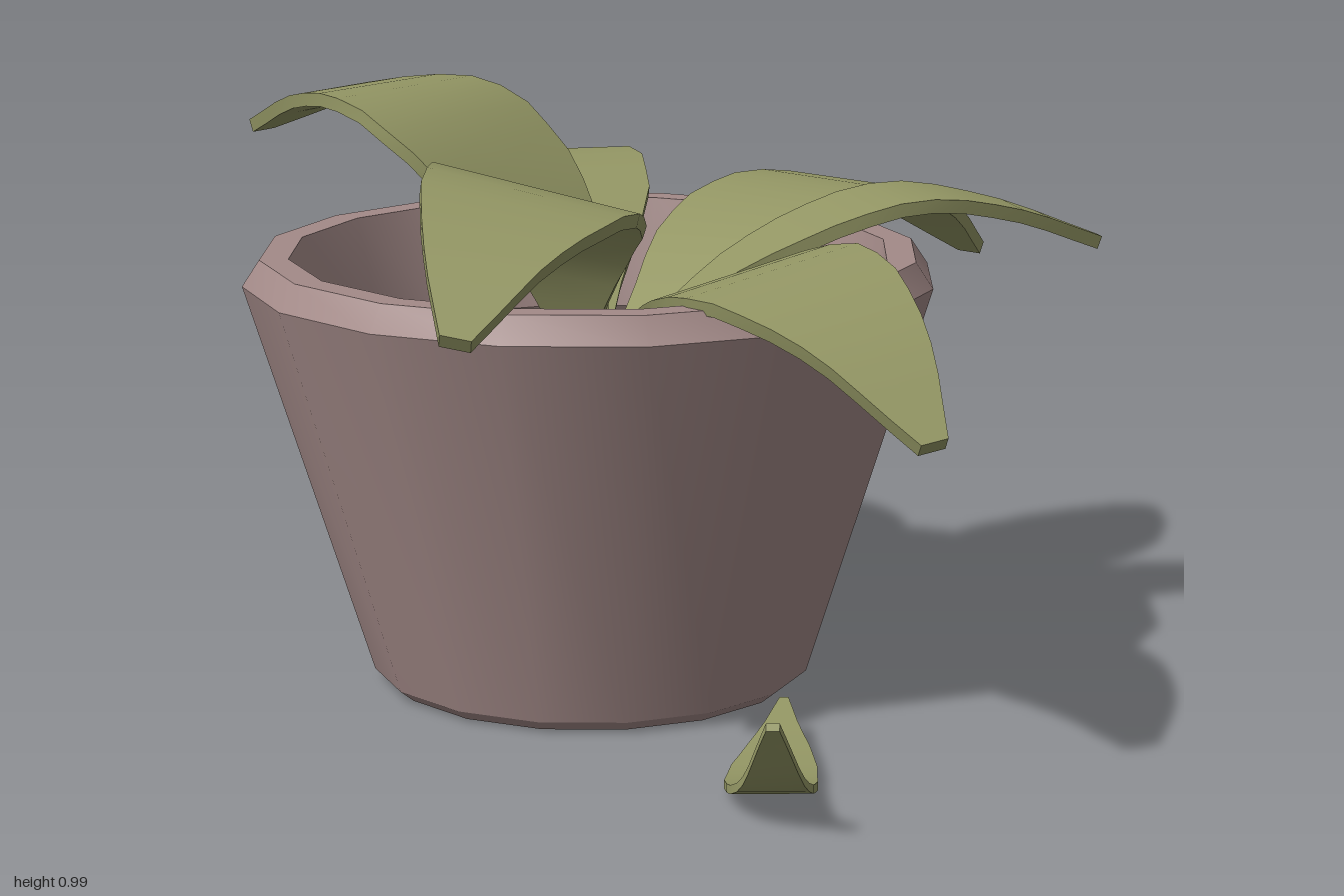
import * as THREE from 'three';
import { toCreasedNormals } from 'three/addons/utils/BufferGeometryUtils.js';

const potMaterial = new THREE.MeshStandardMaterial({ color: 0xa38a88 });
const soilMaterial = new THREE.MeshStandardMaterial({ color: 0x5a4d4a });
const leafMaterial = new THREE.MeshStandardMaterial({ color: 0x939664 });

// Relative leaf width from stem to blunt tip
const outline = [0.1, 0.36, 0.68, 0.93, 1, 0.87, 0.64, 0.4, 0.14];

function widthAt(t) {
  const f = Math.min(t * 8, 7.9999);
  const i = Math.floor(f);
  return THREE.MathUtils.lerp(outline[i], outline[i + 1], f - i);
}

// A thin box bent along a curve through the points; roll lifts one edge
function makeLeaf(name, { points, width, roll = 0, thickness = 0.024 }) {
  const curve = new THREE.CatmullRomCurve3(points.map(p => new THREE.Vector3(...p)));
  const geometry = new THREE.BoxGeometry(1, 1, 1, 2, 1, 16);
  const position = geometry.attributes.position;
  const up = new THREE.Vector3(0, 1, 0);
  for (let i = 0; i < position.count; i++) {
    const t = THREE.MathUtils.clamp(position.getZ(i) + 0.5, 0, 1);
    const tangent = curve.getTangentAt(t);
    const side = up.clone().cross(tangent).normalize();
    const normal = tangent.clone().cross(side);
    const lifted = side.clone().multiplyScalar(Math.cos(roll)).addScaledVector(normal, Math.sin(roll));
    const across = tangent.clone().cross(lifted);
    const p = curve.getPointAt(t)
      .addScaledVector(lifted, position.getX(i) * width * widthAt(t))
      .addScaledVector(across, position.getY(i) * thickness);
    position.setXYZ(i, p.x, p.y, p.z);
  }
  geometry.computeVertexNormals();
  const leaf = new THREE.Mesh(geometry, leafMaterial);
  leaf.name = name;
  return leaf;
}

const leaves = {
  backLeaf: {
    width: 0.35,
    points: [[-0.14, 0.57, -0.09], [-0.15, 0.73, -0.32], [-0.16, 0.82, -0.59], [-0.165, 0.75, -0.8], [-0.17, 0.585, -0.99]],
  },
  backLeftLeaf: {
    width: 0.37,
    points: [[0.68, 0.61, -0.65], [0.53, 0.72, -0.53], [0.33, 0.785, -0.37], [0.1, 0.73, -0.21], [-0.1, 0.57, -0.06]].reverse(),
  },
  leftLeaf: {
    width: 0.23,
    points: [[-0.1, 0.57, -0.02], [0.13, 0.73, -0.03], [0.38, 0.82, -0.035], [0.57, 0.795, -0.05], [0.76, 0.725, -0.07]],
  },
  backRightLeaf: {
    width: 0.41,
    points: [[-0.14, 0.57, -0.04], [-0.26, 0.82, -0.18], [-0.41, 0.97, -0.33], [-0.55, 0.965, -0.49], [-0.685, 0.89, -0.635]],
  },
  frontRightLeaf: {
    width: 0.36,
    roll: -0.2,
    points: [[-0.19, 0.57, 0.02], [-0.24, 0.8, 0.14], [-0.31, 0.91, 0.32], [-0.41, 0.87, 0.54], [-0.49, 0.755, 0.73]],
  },
  frontLeftLeaf: {
    width: 0.35,
    roll: 0.15,
    points: [[-0.12, 0.57, 0.06], [-0.03, 0.71, 0.24], [0.07, 0.785, 0.46], [0.16, 0.73, 0.66], [0.235, 0.59, 0.85]],
  },
  // Two fallen leaves
  fallenFrontLeaf: {
    width: 0.15,
    thickness: 0.014,
    points: [[0.09, 0.058, 0.43], [0.045, 0.025, 0.6], [0.005, 0.02, 0.74], [-0.02, 0.07, 0.88], [-0.045, 0.2, 0.995]],
  },
  fallenBackLeaf: {
    width: 0.15,
    thickness: 0.016,
    points: [[-0.31, 0.02, -0.495], [-0.1, 0.03, -0.56], [0.08, 0.042, -0.61], [0.22, 0.036, -0.635], [0.365, 0.01, -0.655]],
  },
};

export function createModel() {
  const model = new THREE.Group();
  model.name = 'pottedPlant';

  // Tapered pot with bevelled foot and rim
  const profile = [[0, 0], [0.36, 0], [0.385, 0.02], [0.6, 0.71], [0.57, 0.755], [0.52, 0.755], [0.465, 0.54]];
  const potGeometry = new THREE.LatheGeometry(profile.map(p => new THREE.Vector2(...p)), 16);
  const pot = new THREE.Mesh(toCreasedNormals(potGeometry, 0.5), potMaterial);
  pot.name = 'pot';
  pot.position.x = -0.168;
  model.add(pot);

  // Soil disc inside the pot
  const soil = new THREE.Mesh(new THREE.CylinderGeometry(0.472, 0.468, 0.02, 16), soilMaterial);
  soil.name = 'soil';
  soil.position.set(-0.168, 0.55, 0);
  model.add(soil);

  for (const [name, spec] of Object.entries(leaves)) model.add(makeLeaf(name, spec));
  return model;
}
